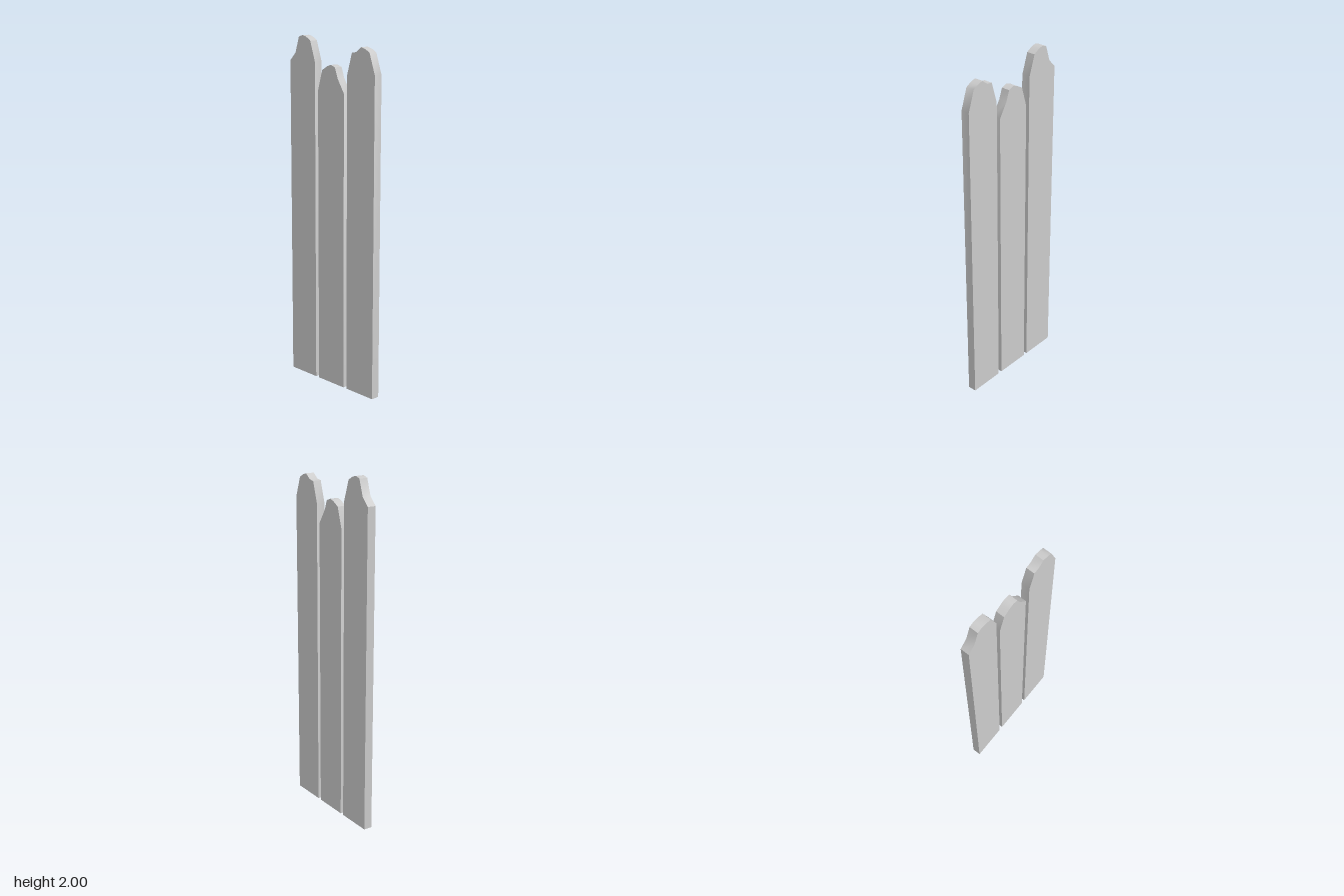
import * as THREE from 'three';
import { toCreasedNormals } from 'three/addons/utils/BufferGeometryUtils.js';

const THICKNESS = 0.05;

// Worn top edge of each plank as [z, y], from its front side to its back side
const PLANKS = {
  frontPlank: [[0.34, 1.81], [0.3, 1.925], [0.27, 1.943], [0.236, 1.953], [0.2, 1.925], [0.166, 1.92], [0.13, 1.8]],
  middlePlank: [[0.105, 1.697], [0.055, 1.775], [0.033, 1.835], [0, 1.847], [-0.03, 1.838], [-0.07, 1.815], [-0.105, 1.7]],
  backPlank: [[-0.13, 1.855], [-0.169, 1.972], [-0.205, 1.993], [-0.235, 2], [-0.265, 1.99], [-0.295, 1.9], [-0.34, 1.855]],
};

// Upright board: straight sides and foot, closed by the given top edge
function plankGeometry(top) {
  const outline = [[top[0][0], 0], ...top, [top[top.length - 1][0], 0]];
  const shape = new THREE.Shape(outline.map(([z, y]) => new THREE.Vector2(z, y)));
  const geometry = new THREE.ExtrudeGeometry(shape, { depth: THICKNESS, bevelEnabled: false });
  geometry.translate(0, 0, -THICKNESS / 2);
  geometry.rotateY(-Math.PI / 2); // outline runs along z, thickness along x
  return toCreasedNormals(geometry, 0.7);
}

export function createModel() {
  const group = new THREE.Group();
  group.name = 'plankFence';
  const material = new THREE.MeshStandardMaterial({ color: 0xcccccc });
  for (const [name, top] of Object.entries(PLANKS)) {
    const plank = new THREE.Mesh(plankGeometry(top), material);
    plank.name = name;
    group.add(plank);
  }
  return group;
}
